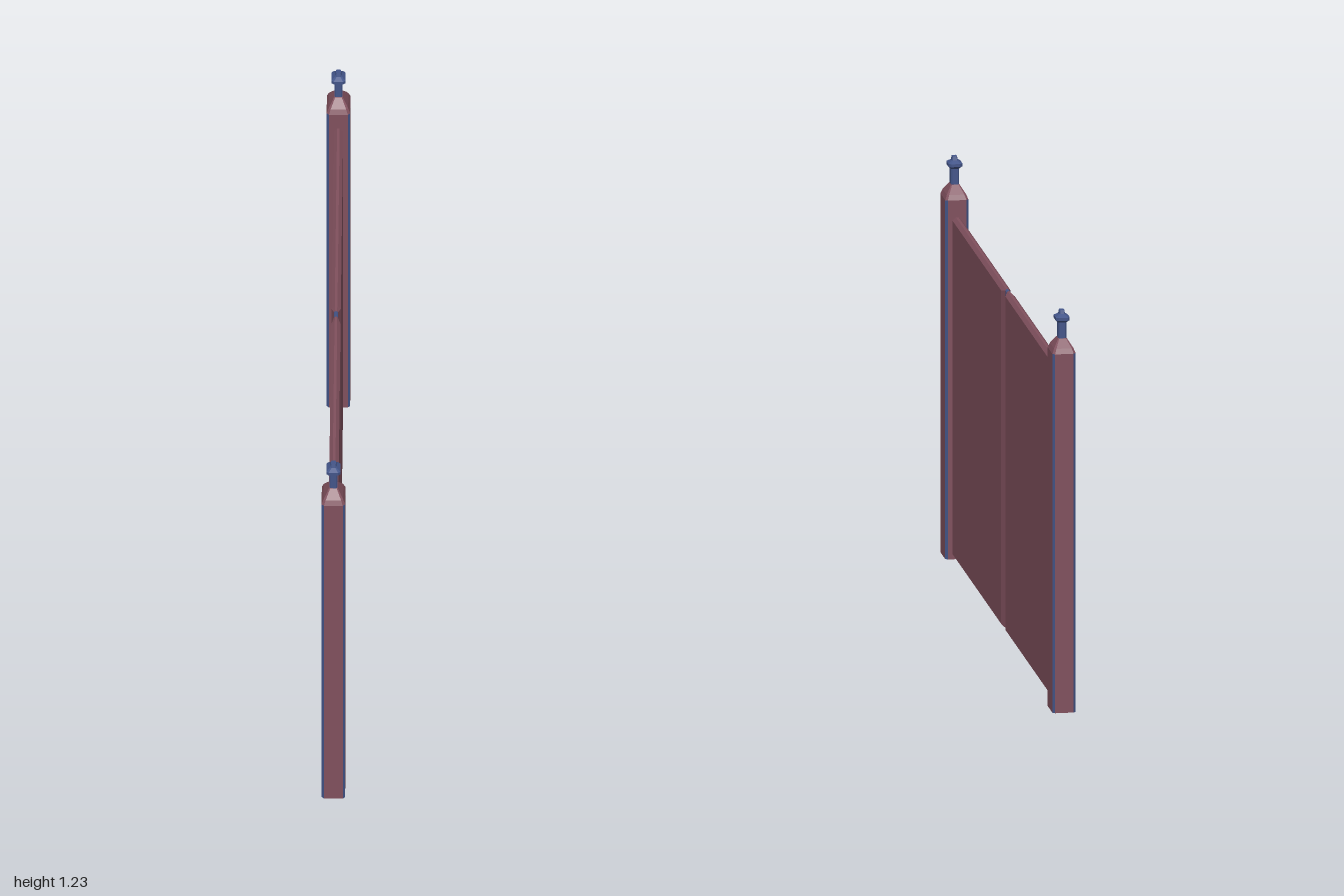
import * as THREE from 'three';

const maroon = new THREE.MeshStandardMaterial({ color: 0x80505d, flatShading: true });
const blue = new THREE.MeshStandardMaterial({ color: 0x435589, flatShading: true });
const grey = new THREE.MeshStandardMaterial({ color: 0x888888, flatShading: true });

// Chamfered rectangle, counter-clockwise; even sides are flats, odd sides chamfers
function octagon(h, k, c) {
  return [[h, c - k], [h, k - c], [h - c, k], [c - h, k], [-h, k - c], [-h, c - k], [c - h, -k], [h - c, -k]];
}

const upright = (u, v, w) => [v, w, u]; // stations run along y
const lengthwise = (u, v, w) => [u, v, w]; // stations run along z

// Skins stations { at, ring }, keeping the faces chosen by keep(segment, side);
// the end caps are the segments 'start' and 'end'
function loft(name, material, stations, place, keep = () => true) {
  const pos = [];
  const rings = stations.map(s => s.ring.map(([u, v]) => place(u, v, s.at)));
  const tri = (a, b, c) => pos.push(...a, ...b, ...c);
  for (let s = 0; s < rings.length - 1; s++) {
    const a = rings[s], b = rings[s + 1];
    a.forEach((p, i) => {
      if (!keep(s, i)) return;
      const j = (i + 1) % a.length;
      tri(p, a[j], b[j]);
      tri(p, b[j], b[i]);
    });
  }
  const first = rings[0], last = rings[rings.length - 1];
  for (let i = 1; i < first.length - 1; i++) {
    if (keep('start', i)) tri(first[0], first[i + 1], first[i]);
    if (keep('end', i)) tri(last[0], last[i], last[i + 1]);
  }
  const geometry = new THREE.BufferGeometry();
  geometry.setAttribute('position', new THREE.Float32BufferAttribute(pos, 3));
  geometry.computeVertexNormals();
  const mesh = new THREE.Mesh(geometry, material);
  mesh.name = name;
  return mesh;
}

function createPost() {
  const post = new THREE.Group();
  // [y, half depth, half width, chamfer]
  const body = [
    [0, 0.05, 0.035, 0.007], [1.1, 0.05, 0.035, 0.007],
    [1.115, 0.043, 0.029, 0.006], [1.14, 0.018, 0.013, 0.003],
  ].map(([at, h, k, c]) => ({ at, ring: octagon(h, k, c) }));
  const isTrim = (s, i) => s === 0 && i % 2 === 1;
  post.add(loft('postBody', maroon, body, upright, (s, i) => s !== 'start' && !isTrim(s, i)));
  post.add(loft('cornerTrim', blue, body, upright, isTrim));
  post.add(loft('postBase', grey, body, upright, s => s === 'start'));

  // Finial: stem, flared collar and small tip
  const finial = [
    [1.138, 0.016, 0.012, 0.004], [1.188, 0.016, 0.012, 0.004],
    [1.196, 0.027, 0.021, 0.007], [1.205, 0.027, 0.021, 0.007],
    [1.213, 0.012, 0.009, 0.003], [1.225, 0.009, 0.007, 0.002],
  ].map(([at, h, k, c]) => ({ at, ring: octagon(h, k, c) }));
  post.add(loft('finial', blue, finial, upright));
  return post;
}

export function createModel() {
  const model = new THREE.Group();
  model.name = 'fenceSection';

  for (const side of [1, -1]) {
    const post = createPost();
    post.name = side > 0 ? 'frontPost' : 'backPost';
    post.position.z = side * 0.95;
    model.add(post);
  }

  // Panel boards with bevelled edges, pinched to a thin blue seam in the middle
  const board = [
    [-0.905, 0.014, 0.01], [-0.038, 0.014, 0.01], [-0.013, 0.006, 0.004],
    [0.013, 0.006, 0.004], [0.038, 0.014, 0.01], [0.905, 0.014, 0.01],
  ].map(([at, h, c]) => ({
    at, ring: octagon(h, 0.521, c).map(([x, y]) => [x, y + 0.527]),
  }));
  model.add(loft('panels', maroon, board, lengthwise, s => s !== 2));
  model.add(loft('centreSeam', blue, board, lengthwise, s => s === 2));

  return model;
}
